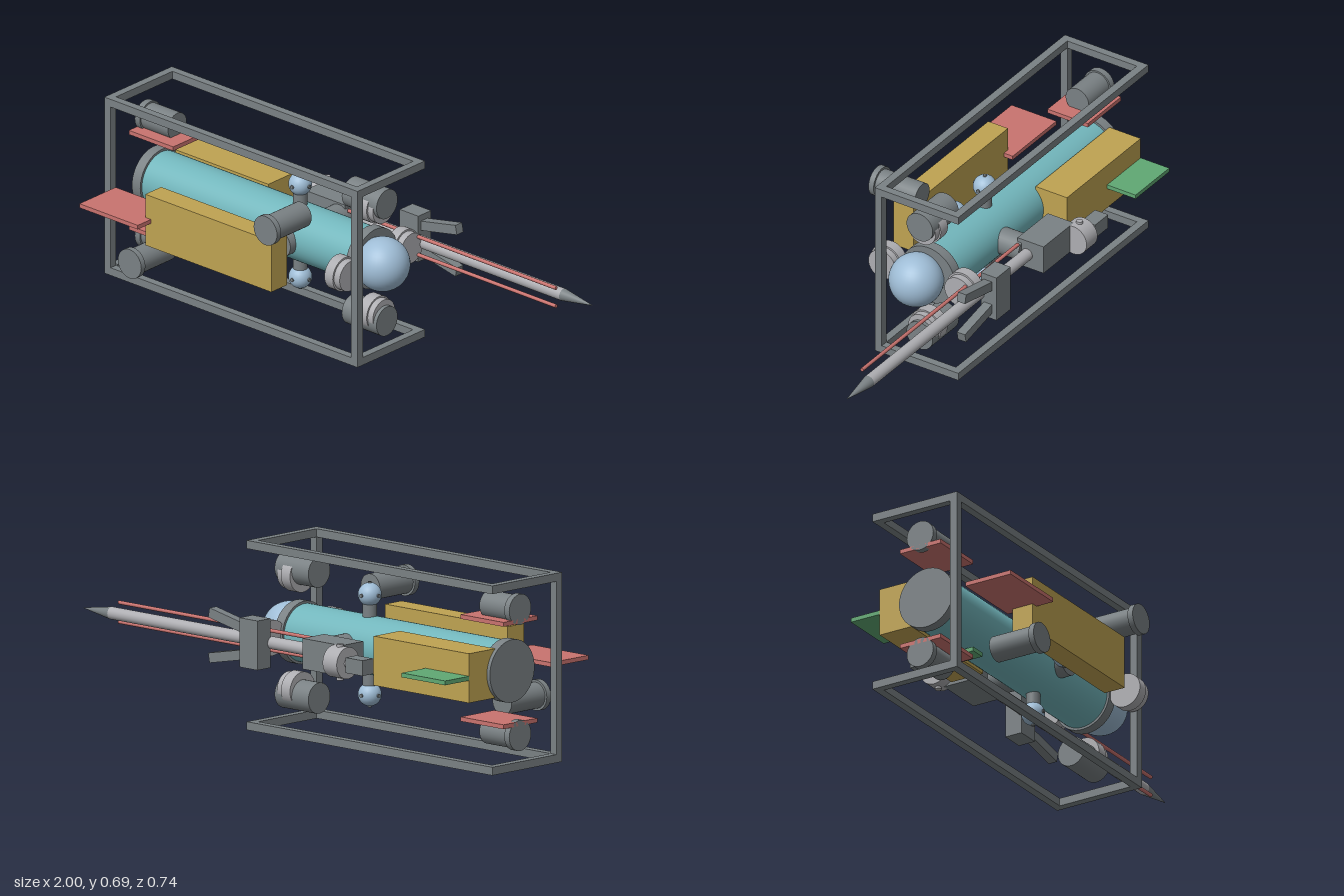
import * as THREE from 'three';

const paint = (name, color) => {
  const m = new THREE.MeshStandardMaterial({ color });
  m.name = name;
  return m;
};

export function createModel() {
  const grey = paint('steel grey', 0x7a8184);
  const light = paint('light grey', 0xaeaeb2);
  const teal = paint('teal', 0x72b6bc);
  const blue = paint('pale blue', 0x9fbdd6);
  const yellow = paint('ochre', 0xbfa352);
  const red = paint('dull red', 0xc9736f);
  const green = paint('green', 0x60a873);

  const model = new THREE.Group();
  model.name = 'spacecraft';
  const Y = 0.346; // height of the main axis
  const Z = -0.005; // depth of the main axis

  const add = (name, geometry, material, x = 0, y = 0, z = 0) => {
    const mesh = new THREE.Mesh(geometry, material);
    mesh.name = name;
    mesh.position.set(x, y, z);
    model.add(mesh);
    return mesh;
  };
  // Box given by its limits on each axis
  const box = (name, mat, [x0, x1], [y0, y1], [z0, z1]) =>
    add(name, new THREE.BoxGeometry(x1 - x0, y1 - y0, z1 - z0), mat,
      (x0 + x1) / 2, (y0 + y1) / 2, (z0 + z1) / 2);
  // Cylinders along each axis; r1 is the radius at the far (positive) end
  const cylX = (name, mat, x0, x1, y, z, r, r1 = r, seg = 32) => {
    const g = new THREE.CylinderGeometry(r1, r, x1 - x0, seg);
    return add(name, g.rotateZ(-Math.PI / 2), mat, (x0 + x1) / 2, y, z);
  };
  const cylY = (name, mat, y0, y1, x, z, r) =>
    add(name, new THREE.CylinderGeometry(r, r, y1 - y0, 24), mat, x, (y0 + y1) / 2, z);
  const cylZ = (name, mat, z0, z1, x, y, r) =>
    add(name, new THREE.CylinderGeometry(r, r, z1 - z0, 32).rotateX(Math.PI / 2), mat,
      x, y, (z0 + z1) / 2);

  // Open frame: rails, cross bars and two posts on the front side
  for (const y of [0, 0.662]) {
    const ys = [y, y + 0.03];
    for (const z of [-0.185, 0.145]) box('frameRail', grey, [-1, 0.225], ys, [z, z + 0.03]);
    for (const x of [-1, 0.195]) box('frameCrossBar', grey, [x, x + 0.03], ys, [-0.155, 0.145]);
  }
  for (const x of [-1, 0.195]) box('framePost', grey, [x, x + 0.03], [0.03, 0.662], [0.145, 0.175]);

  // Main hull with end collars and the nose sphere
  cylX('hull', teal, -0.89, 0.115, Y, Z, 0.106, 0.106, 48);
  cylX('rearCollar', grey, -0.925, -0.885, Y, Z, 0.115, 0.115, 48);
  cylX('noseCollar', grey, 0.11, 0.15, Y, Z, 0.115, 0.115, 48);
  add('noseSphere', new THREE.SphereGeometry(0.1, 40, 24), blue, 0.2, Y, 0.013);

  // Cargo boxes on both flanks
  box('frontCargoBox', yellow, [-0.69, -0.08], [0.245, 0.445], [0.213, 0.298]);
  box('rearCargoBox', yellow, [-0.91, -0.435], [0.256, 0.436], [-0.212, -0.077]);

  // Radiator panels
  box('sideRadiator', red, [-0.945, -0.663], [0.338, 0.354], [0.175, 0.368]);
  box('backPanel', green, [-0.91, -0.693], [0.338, 0.354], [-0.335, -0.21]);
  for (const y of [0.533, 0.159])
    box('radiator', red, [-0.965, -0.75], [y - 0.008, y + 0.008], [-0.091, 0.083]);

  // Engine pods and light heads, above and below the hull
  for (const s of [1, -1]) {
    const y = Y + s * 0.23;
    cylX('frontPod', grey, 0.037, 0.205, y, Z, 0.0565);
    cylX('podHead', light, 0.12, 0.165, Y + s * 0.21, Z, 0.065);
    cylX('podHeadCap', light, 0.165, 0.19, Y + s * 0.21, Z, 0.059);
    cylX('rearPod', grey, -0.965, -0.81, y, Z, 0.05);
    cylX('rearPodFlange', grey, -0.965, -0.94, y, Z, 0.0565);
  }
  // Light heads on both sides of the nose
  for (const s of [1, -1]) {
    const z = 0.006 + s * 0.164;
    cylX('sideHead', light, 0.12, 0.16, Y, z, 0.065);
    cylX('sideHeadCap', light, 0.16, 0.187, Y, z, 0.058);
  }

  // Steering thrusters: sphere with small nozzles
  const thruster = (x, y, z) => {
    add('thrusterSphere', new THREE.SphereGeometry(0.043, 24, 16), blue, x, y, z);
    cylX('nozzle', grey, x - 0.047, x + 0.047, y, z, 0.007, 0.007, 10);
    cylY('nozzle', grey, y - 0.047, y + 0.047, x, z, 0.007);
    cylZ('nozzle', grey, z - 0.047, z + 0.047, x, y, 0.007);
  };
  cylY('thrusterMast', grey, 0.18, 0.515, -0.215, Z, 0.026);
  cylZ('crossMast', grey, -0.2, 0.13, -0.19, Y, 0.05);
  thruster(-0.215, 0.53, Z);
  thruster(-0.215, 0.165, Z);
  thruster(-0.245, Y, 0.147);

  // Docking tubes pointing forward
  for (const [x, y] of [[-0.058, 0.512], [-0.715, 0.182]]) {
    cylZ('dockingTube', grey, 0.16, 0.335, x, y, 0.048);
    cylZ('dockingFlange', grey, 0.332, 0.354, x, y, 0.0565);
  }
  // Small sensor under the hull
  box('sensorArm', grey, [-0.69, -0.63], [0.216, 0.232], [-0.053, 0]);
  box('sensorPlate', green, [-0.69, -0.63], [0.216, 0.232], [0, 0.045]);

  // Long lance with its two side rods
  cylX('lance', light, -0.16, 0.86, Y, -0.224, 0.023);
  cylX('lanceTip', grey, 0.86, 1, Y, -0.224, 0.023, 0.001);
  for (const y of [0.381, 0.31]) cylX('lanceRod', red, -0.15, 0.855, y, -0.191, 0.007, 0.007, 12);

  // Lance mount and splayed clamp arms
  box('lanceMount', grey, [-0.355, -0.16], [0.29, 0.402], [-0.295, -0.183]);
  box('clampBlock', grey, [0.06, 0.15], [0.256, 0.436], [-0.3, -0.232]);
  for (const s of [1, -1]) {
    const arm = add('clampArm', new THREE.BoxGeometry(0.2, 0.036, 0.035), grey,
      0.223, Y + s * 0.063, -0.263);
    arm.rotation.z = s * 0.2;
  }
  // Motor behind the mount
  cylX('motor', light, -0.4, -0.33, Y, -0.309, 0.058);
  cylY('motorPin', light, 0.28, 0.412, -0.365, -0.313, 0.012);
  cylX('motorShaft', light, -0.43, -0.4, Y, -0.313, 0.015);
  box('motorBlock', grey, [-0.505, -0.42], [0.318, 0.374], [-0.343, -0.286]);

  return model;
}
